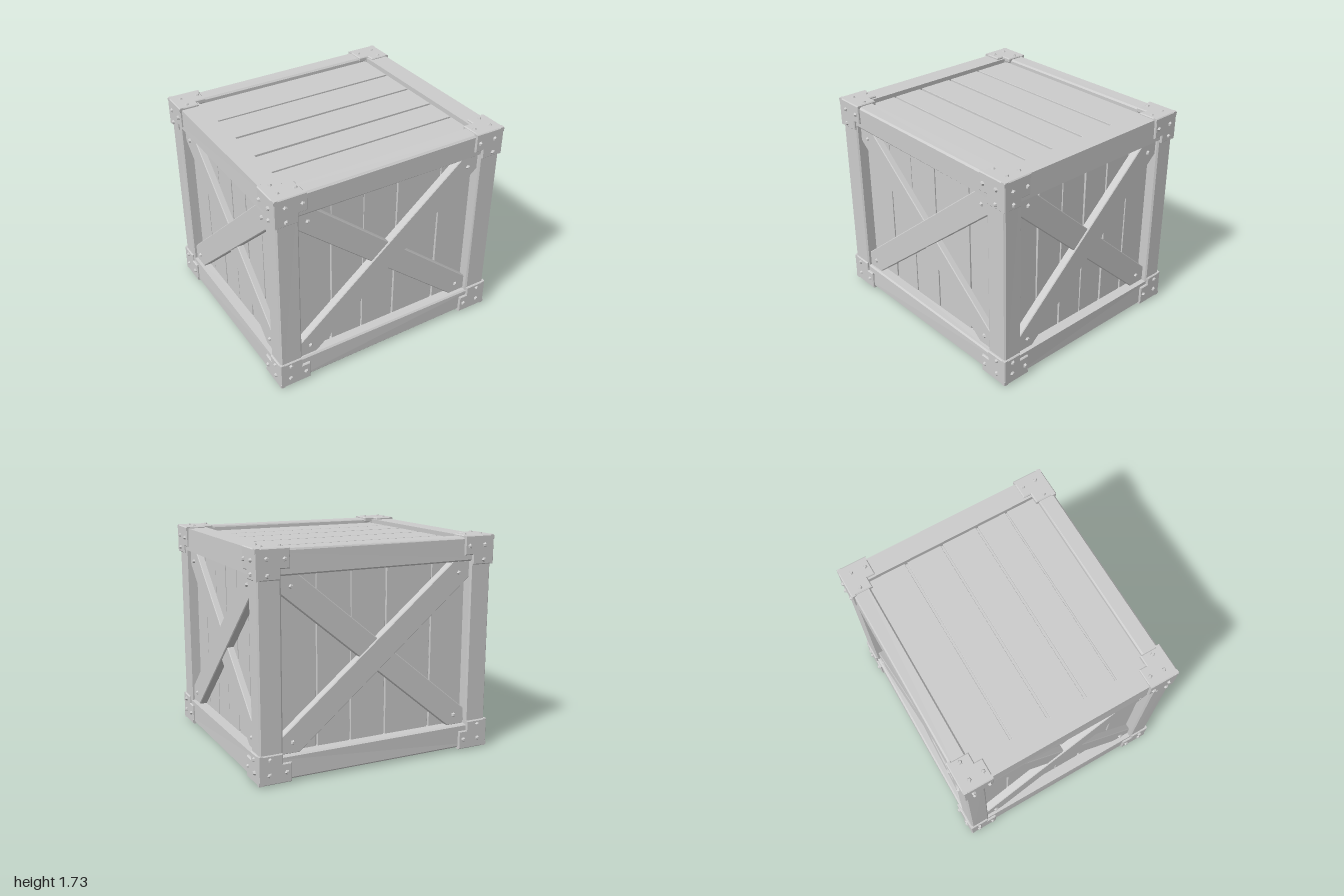
import * as THREE from 'three';
import { mergeGeometries } from 'three/addons/utils/BufferGeometryUtils.js';

const wood = new THREE.MeshStandardMaterial({ color: 0xcccccc, flatShading: true });
wood.name = 'pale grey';

// Outer half sizes of the frame and its bottom / top
const HX = 0.97, HZ = 0.875, Y0 = 0.03, Y1 = 1.712, MID = (Y0 + Y1) / 2;
const V = (x, y, z) => new THREE.Vector3(x, y, z);
const basis = (x, y, z, at) => new THREE.Matrix4().makeBasis(x, y, z).setPosition(at);

// Small repeatable unevenness, equal for vertices that share a position
function hew(geo, amount) {
  const p = geo.attributes.position;
  const n = (x, y, z, k) => Math.sin(x * 37.1 + y * 51.7 + z * 43.3 + k * 2.1) * amount;
  for (let i = 0; i < p.count; i++) {
    const x = p.getX(i), y = p.getY(i), z = p.getZ(i);
    p.setXYZ(i, x + n(x, y, z, 0), y + n(x, y, z, 1), z + n(x, y, z, 2));
  }
  return geo;
}

// Bevelled slab of a polygon outline, between depths w0 and w1
function slab(points, w0, w1, bevel) {
  const shape = new THREE.Shape(points.map(([x, y]) => new THREE.Vector2(x, y)));
  const geo = new THREE.ExtrudeGeometry(shape, {
    depth: w1 - w0 - 2 * bevel, bevelEnabled: bevel > 0, bevelSize: bevel,
    bevelThickness: bevel, bevelOffset: -bevel, bevelSegments: 1, curveSegments: 1,
  });
  return geo.translate(0, 0, w0 + bevel);
}

// Bevelled beam given by its min and max corners
function beam(x0, x1, y0, y1, z0, z1) {
  return hew(slab([[x0, y0], [x1, y0], [x1, y1], [x0, y1]], z0, z1, 0.012), 0.003);
}

// Mirror a non-indexed geometry by signs, keeping faces outward
function mirrored(geo, sx, sy, sz) {
  const g = geo.clone();
  const p = g.attributes.position;
  for (let i = 0; i < p.count; i++) p.setXYZ(i, p.getX(i) * sx, p.getY(i) * sy, p.getZ(i) * sz);
  if (sx * sy * sz < 0) {
    const a = V(), b = V();
    for (let i = 0; i < p.count; i += 3) {
      a.fromBufferAttribute(p, i + 1);
      b.fromBufferAttribute(p, i + 2);
      p.setXYZ(i + 1, b.x, b.y, b.z);
      p.setXYZ(i + 2, a.x, a.y, a.z);
    }
  }
  g.computeVertexNormals();
  return g;
}

// Faceted rivet head standing on depth w
function rivet(u, v, w, height = 0.016) {
  return new THREE.CylinderGeometry(0.011, 0.024, height + 0.01, 5).toNonIndexed()
    .rotateX(Math.PI / 2).rotateZ(u * 9 + v * 5).translate(u, v, w + (height - 0.01) / 2);
}

// Planks running along v; each seam is [position, gap at low end, gap at high end]
function planks(halfU, v0, v1, face, seams) {
  const edges = [[-halfU, 0, 0], ...seams, [halfU, 0, 0]];
  const parts = [];
  for (let i = 0; i + 1 < edges.length; i++) {
    const [a, a0, a1] = edges[i], [b, b0, b1] = edges[i + 1];
    parts.push(slab([[a + a0 / 2, v0], [b - b0 / 2, v0], [b - b1 / 2, v1], [a + a1 / 2, v1]],
      face - 0.025, face, 0.002));
  }
  parts.push(slab([[-halfU, v0], [halfU, v0], [halfU, v1], [-halfU, v1]], face - 0.04, face - 0.02, 0));
  return mergeGeometries(parts);
}

function mesh(name, geo) {
  const m = new THREE.Mesh(geo, wood);
  m.name = name;
  return m;
}

// Wall with planks, crossed braces and a rivet at each brace end
function wall(name, half, depth, seams) {
  const g = new THREE.Group();
  g.name = name;
  const lo = 0.215, hi = 1.53, cut = 0.128, e = half + 0.005;
  g.add(mesh('wallPlanks', planks(half + 0.04, lo - 0.04, hi + 0.04, depth - 0.09, seams)));
  const brace = (s, top) => {
    const pts = [[-e, lo], [-e + cut + 0.02, lo], [e, hi - cut], [e, hi], [e - cut - 0.02, hi], [-e, lo + cut]]
      .map(([x, y]) => [x * s, y]);
    return slab(s < 0 ? pts.reverse() : pts, depth - 0.1, depth - top, 0.006);
  };
  g.add(mesh('upperBrace', brace(1, 0.028)), mesh('lowerBrace', brace(-1, 0.04)));
  const heads = [];
  for (const s of [-1, 1]) for (const [y, up] of [[0.3, -1], [1.44, 1]]) {
    heads.push(rivet(s * (half - 0.09), y, depth - (s * up > 0 ? 0.028 : 0.04)));
  }
  g.add(mesh('braceRivets', mergeGeometries(heads)));
  return g;
}

// One riveted corner bracket around the +x +y +z corner, y measured from mid-height
function bracketGeometry() {
  const corner = V(HX + 0.014, Y1 - MID + 0.012, HZ + 0.014);
  const plate = (a, b, X, Y, Z, h) => {
    const outline = [[0, 0], [a, 0], [a, b * 0.66], [a * 0.73, b * 0.66], [a * 0.73, b], [0, b]];
    const parts = [slab(outline, -0.04, 0, 0.007),
      rivet(0.085, 0.075, 0, h), rivet(a - 0.04, 0.08, 0, h), rivet(0.09, b - 0.035, 0, h)];
    return mergeGeometries(parts).applyMatrix4(basis(X, Y, Z, corner));
  };
  const nx = V(-1, 0, 0), ny = V(0, -1, 0), nz = V(0, 0, -1);
  return mergeGeometries([
    plate(0.26, 0.225, nx, ny, V(0, 0, 1), 0.016),
    plate(0.225, 0.24, ny, nz, V(1, 0, 0), 0.016),
    plate(0.24, 0.25, nz, nx, V(0, 1, 0), 0.012),
  ]);
}

export function createModel() {
  const model = new THREE.Group();
  model.name = 'woodenCrate';

  // Frame: four posts, four long rails, four side rails
  const frame = new THREE.Group();
  frame.name = 'frame';
  const i = 0.003;
  for (const s of [-1, 1]) for (const t of [-1, 1]) {
    const span = (k, a, b) => (k > 0 ? [a, b] : [-b, -a]);
    const [ya, yb] = t > 0 ? [1.525, Y1] : [Y0, 0.218];
    frame.add(mesh('post', beam(...span(s, 0.788, HX), Y0 + i, Y1 - i, ...span(t, 0.715, HZ))));
    frame.add(mesh('longRail', beam(-HX + i, HX - i, ya, yb, ...span(s, 0.735, HZ - i))));
    frame.add(mesh('sideRail', beam(...span(s, 0.803, HX - i), ya + i, yb - i, -HZ + i, HZ - i)));
  }
  model.add(frame);

  // Walls: front and back, then the two sides
  const longSeams = [[-0.48, 0.02, 0.004], [-0.2, 0.012, 0.003], [0.095, 0.014, 0.01], [0.49, 0.02, 0.006]];
  const sideSeams = [[-0.48, 0.006, 0.02], [-0.235, 0.016, 0.006], [0, 0.006, 0.018],
    [0.235, 0.018, 0.012], [0.48, 0.016, 0.004]];
  ['frontWall', 'leftWall', 'backWall', 'rightWall'].forEach((name, k) => {
    const w = k % 2 ? wall(name, 0.715, HX, sideSeams) : wall(name, 0.788, HZ, longSeams);
    w.rotation.y = k * Math.PI / 2;
    model.add(w);
  });

  // Lid and floor: planks running from side to side
  const lidSeams = [[-0.402, 0.018, 0.022], [-0.092, 0.024, 0.02], [0.217, 0.026, 0.02], [0.478, 0.018, 0.018]];
  for (const s of [-1, 1]) {
    const geo = planks(0.76, -0.83, 0.83, 0, lidSeams);
    geo.applyMatrix4(basis(V(0, 0, 1), V(s, 0, 0), V(0, s, 0), V(0, s > 0 ? Y1 - 0.04 : Y0 + 0.04, 0)));
    model.add(mesh(s > 0 ? 'lidPlanks' : 'floorPlanks', geo));
  }

  // Brackets on all eight corners
  const bracket = bracketGeometry();
  for (const x of [-1, 1]) for (const y of [-1, 1]) for (const z of [-1, 1]) {
    const b = mesh('cornerBracket', mirrored(bracket, x, y, z));
    b.position.y = MID;
    model.add(b);
  }
  return model;
}
